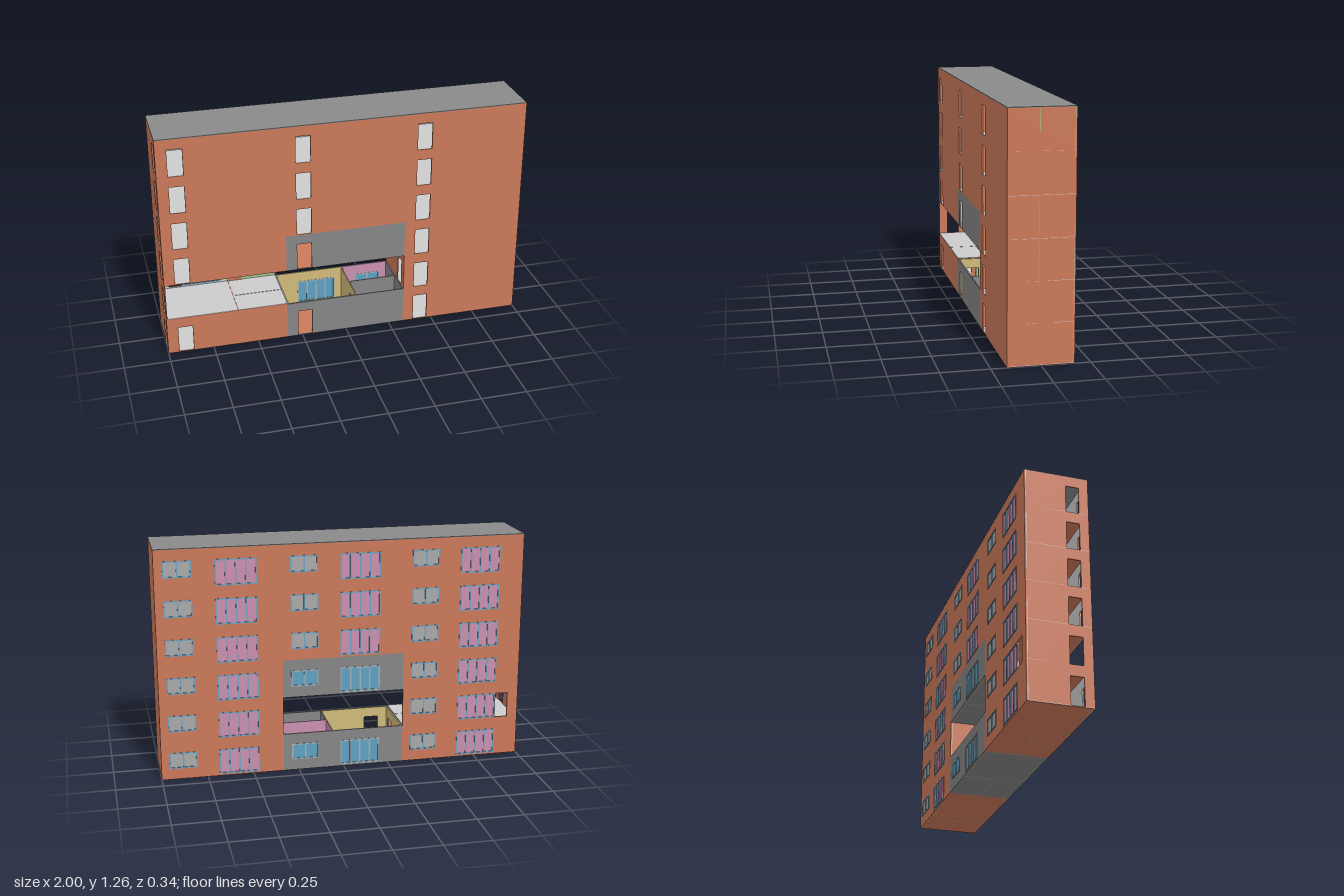
import * as THREE from 'three';

const mat = (color) => new THREE.MeshStandardMaterial({ color, flatShading: true });
const M = {
  brick: mat(0xcb7859), dark: mat(0x858585), grey: mat(0xcccccc), roof: mat(0x8a8a8a),
  yellow: mat(0xd0ba7a), green: mat(0x9fcb90), pink: mat(0xc98fae),
  blue: mat(0x5f9fc0), frame: mat(0x6fa3c2), pale: mat(0xa9a9a9), trim: mat(0x9fb0b8),
};

const W = 2 / 3, H = 0.21, D = 0.17, T = 0.006, LINE = 0.003;
const ROOM = 0.39, MID = 0.01;                    // partition positions inside a flat
const DOOR = [0.06, 0.005, 0.14, 0.155];          // openings: u0, v0, u1, v1
const BIG = [0.132, 0.01, 0.352, 0.15];
const SMALL = [0.472, 0.06, 0.622, 0.15];
const SIDE_DOOR = [D + 0.05, 0.005, D + 0.12, 0.155];

function add(parent, name, geometry, material, x, y, z) {
  const mesh = new THREE.Mesh(geometry, material);
  mesh.name = name;
  mesh.position.set(x, y, z);
  parent.add(mesh);
  return mesh;
}

// Box given by its two opposite corners
function box(parent, name, material, x0, y0, z0, x1, y1, z1) {
  return add(parent, name, new THREE.BoxGeometry(x1 - x0, y1 - y0, z1 - z0), material,
    (x0 + x1) / 2, (y0 + y1) / 2, (z0 + z1) / 2);
}

// Upright sheet from u0 to u1 with rectangular openings
function sheet(u0, u1, depth, holes) {
  const rect = (P, a, b, c, d) => new P().moveTo(a, b).lineTo(c, b).lineTo(c, d).lineTo(a, d).closePath();
  const shape = rect(THREE.Shape, u0, 0, u1, H);
  for (const h of holes) shape.holes.push(rect(THREE.Path, ...h));
  return new THREE.ExtrudeGeometry(shape, { depth, bevelEnabled: false });
}

// Sheet running along z, its outer face at x
function sideSheet(parent, name, material, x, u0, u1, depth, holes) {
  const m = add(parent, name, sheet(u0, u1, depth, holes), material, x + depth, 0, -D);
  m.rotation.y = -Math.PI / 2;
}

// Framed window with equal panes in the back wall
function windowUnit(parent, name, [u0, v0, u1, v1], panes, glass, frame) {
  const g = new THREE.Group();
  g.name = name;
  const b = 0.007, z0 = -D, z1 = -D + 0.012;
  box(g, 'glass', glass, u0, v0, -D + 0.004, u1, v1, -D + 0.008);
  for (const v of [v0, v1 - b]) box(g, 'frameRail', frame, u0, v, z0, u1, v + b, z1);
  for (let i = 0; i <= panes; i++) {
    const u = u0 + (u1 - u0 - b) * i / panes;
    box(g, 'frameBar', frame, u, v0, z0, u + b, v1, z1);
  }
  parent.add(g);
}

function flat(column, floor) {
  const g = new THREE.Group();
  g.name = `flat${floor + 1}_${column + 1}`;
  g.position.set(-1 + column * W, floor * H, 0);
  const special = column === 1 && (floor === 0 || floor === 2);
  const open = column === 0 && floor === 1;       // flat without front wall or partitions
  const skin = special ? M.dark : M.brick;
  const living = special ? M.yellow : M.grey;
  const kitchen = special ? M.pink : M.green;
  const hall = special ? M.dark : M.brick;
  const back = [BIG, SMALL];

  // Floor slab: outer underside and inner covering
  box(g, 'slab', skin, 0, 0, -D + 0.002, W, 0.003, D);
  box(g, 'flooring', special ? M.brick : M.grey, 0, 0.003, -D + T, ROOM, 0.005, D - 0.001);
  box(g, 'kitchenFlooring', M.grey, ROOM + 0.004, 0.003, -D + T, W, 0.005, MID);
  box(g, 'hallFlooring', M.grey, ROOM + 0.004, 0.003, MID + 0.004, W, 0.005, D - 0.001);

  // Back wall, painted inside
  const wallHoles = open ? [...back, [DOOR[0], 0.01, DOOR[2] - 0.01, 0.15]] : back;
  add(g, 'backWall', sheet(0, W, T, wallHoles), skin, 0, 0, -D + 0.002);
  const inner = wallHoles.filter((h) => h !== SMALL);
  add(g, 'livingLining', sheet(0, ROOM, LINE, inner), living, 0, 0, -D + 0.002 + T);
  add(g, 'kitchenLining', sheet(ROOM, W, LINE, [SMALL]), kitchen, 0, 0, -D + 0.002 + T);
  windowUnit(g, 'balconyWindow', BIG, 4, special ? M.blue : M.pink, special ? M.trim : M.frame);
  windowUnit(g, 'kitchenWindow', SMALL, 2, special ? M.blue : M.pale, special ? M.trim : M.frame);

  // Left wall with passage
  sideSheet(g, 'leftWall', column === 1 ? skin : M.brick, 0, 0.002, 2 * D, T, [SIDE_DOOR]);
  if (special) sideSheet(g, 'leftLining', living, T, 0.01, 2 * D - T, LINE, [SIDE_DOOR]);
  if (column === 2) sideSheet(g, 'endWall', M.brick, W - T, 0.002, 2 * D, T, []);

  if (open) {
    box(g, 'wallPanel', M.brick, ROOM, 0.005, -D + 0.01, ROOM + 0.083, 0.15, -D + 0.014);
    return g;
  }
  // Front wall with entrance
  add(g, 'frontWall', sheet(0, W, T, [DOOR]), skin, 0, 0, D - T);
  add(g, 'frontLining', sheet(T, ROOM, LINE, [DOOR]), living, 0, 0, D - T - LINE);

  // Partitions, coloured per room
  const inside = [D + 0.04, 0.005, D + 0.1, 0.15];
  sideSheet(g, 'livingPartition', living, ROOM, 0.01, 2 * D - T, LINE, [inside]);
  sideSheet(g, 'hallPartition', hall, ROOM + LINE, D + MID, 2 * D - T, LINE, [inside]);
  sideSheet(g, 'kitchenPartition', kitchen, ROOM + LINE, 0.01, D + MID, LINE, []);
  const pass = [ROOM + 0.02, 0.005, ROOM + 0.09, 0.15];
  const passes = special ? [] : [pass];
  add(g, 'kitchenDivider', sheet(ROOM + T, W, LINE, passes), kitchen, 0, 0, MID);
  add(g, 'hallDivider', sheet(ROOM + T, W, LINE, passes), hall, 0, 0, MID + LINE);
  sideSheet(g, 'kitchenSideLining', kitchen, W - LINE - T * (column === 2), 0.01, D + MID, LINE, []);
  return g;
}

export function createModel() {
  const model = new THREE.Group();
  model.name = 'apartmentBlock';
  for (let floor = 0; floor < 6; floor++) {
    for (let column = 0; column < 3; column++) {
      if (floor === 1 && column === 1) continue;  // see-through gap
      model.add(flat(column, floor));
    }
  }
  // Close the gap-side end of the ground floor flat
  box(model, 'groundPartyWall', M.dark, W / 2 - T, 0.005, -D + 0.01, W / 2 - 0.001, H, D - T);
  box(model, 'roof', M.roof, -1, 6 * H, -D + 0.001, 1, 6 * H + 0.004, D);
  return model;
}
